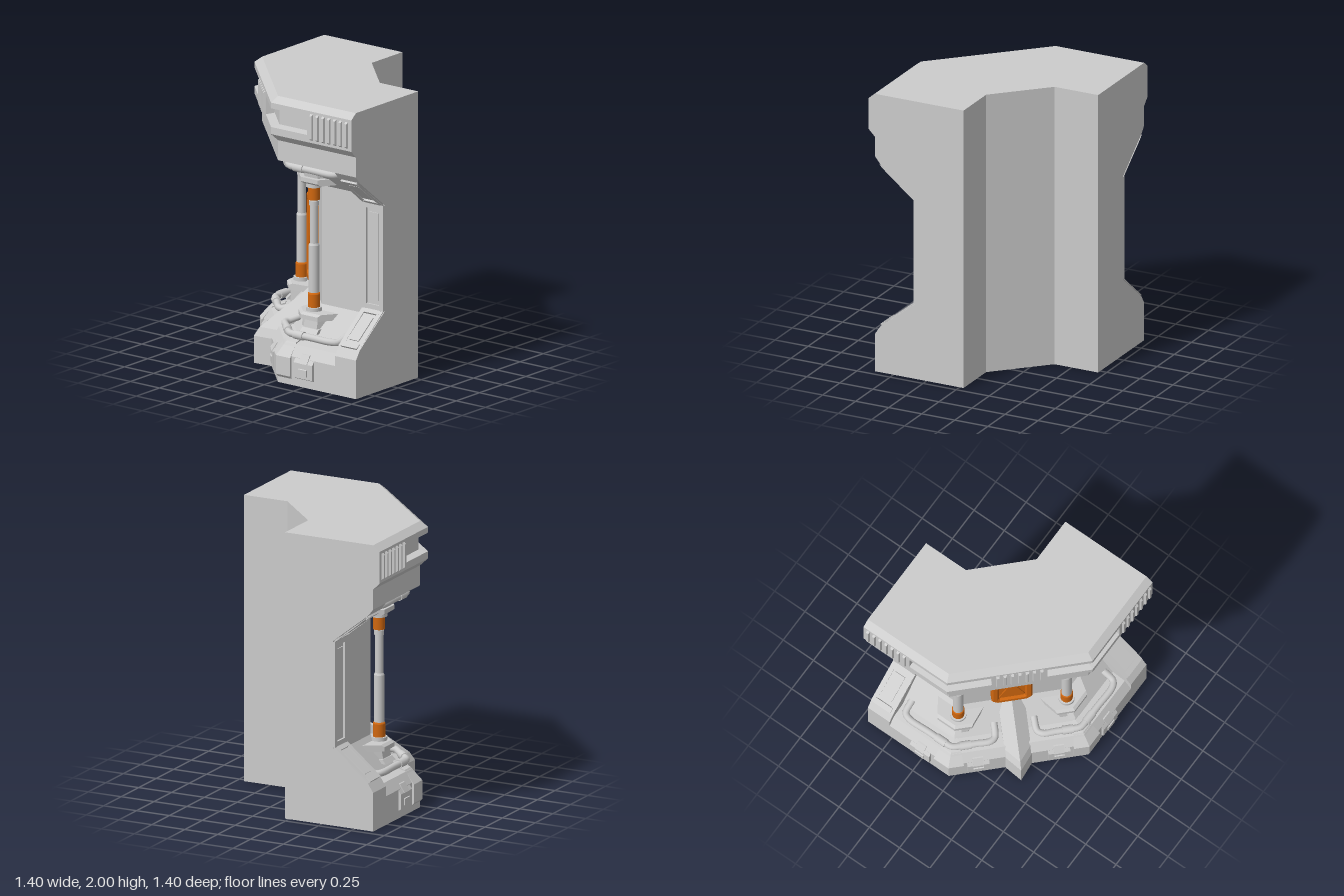
import * as THREE from 'three';

const grey = new THREE.MeshStandardMaterial({ color: 0xcccccc });
const greyFlat = new THREE.MeshStandardMaterial({ color: 0xcccccc, flatShading: true });
const orange = new THREE.MeshStandardMaterial({ color: 0xd0670f });
const IN = 0.72, R2 = Math.SQRT2;

// Stations: each maps a depth d behind the outer face to a point [x, z] in plan.
const side = (k, m = 0) => d => [-0.69 + d, k + m * d];
const diag = (t, m = 0, shift = 0) => d => {
  const D = 0.481 - d - shift, u = t + m * d;
  return [(-D - u) / R2, (-D + u) / R2];
};
const corner = d => d === IN ? [0.03, 0.37] : [-0.69 + d, 0.01 + 0.414 * d];
const swap = s => d => s(d).reverse();
const mirror = list => list.map(swap).reverse();

// Loft a closed profile of [depth, height] points through the stations, with caps.
function loft(profile, stations) {
  let pts = profile.map(p => new THREE.Vector2(p[0], p[1]));
  if (THREE.ShapeUtils.area(pts) < 0) pts.reverse();
  const n = pts.length, pos = [];
  const rings = stations.map(s => pts.map(p => { const [x, z] = s(p.x); return [x, p.y, z]; }));
  for (let i = 0; i + 1 < rings.length; i++) {
    const s = rings[i], e = rings[i + 1];
    for (let a = 0; a < n; a++) {
      const b = (a + 1) % n;
      pos.push(...s[b], ...s[a], ...e[a], ...s[b], ...e[a], ...e[b]);
    }
  }
  const last = rings[rings.length - 1];
  for (const [a, b, c] of THREE.ShapeUtils.triangulateShape(pts, [])) {
    pos.push(...rings[0][a], ...rings[0][b], ...rings[0][c]);
    pos.push(...last[a], ...last[c], ...last[b]);
  }
  const g = new THREE.BufferGeometry();
  g.setAttribute('position', new THREE.Float32BufferAttribute(pos, 3));
  g.computeVertexNormals();
  return g;
}

export function createModel() {
  const root = new THREE.Group();
  const add = (name, geo, mat = greyFlat, parent = root) => {
    const m = new THREE.Mesh(geo, mat);
    m.name = name;
    parent.add(m);
    return m;
  };
  const part = (name, profile, stations) => add(name, loft(profile, stations));
  const pair = (name, profile, stations) => {
    part(name, profile, stations);
    part(name, profile, mirror(stations));
  };

  // Wall body: full-depth ends and a recessed middle wrapping both corners
  pair('wallEnd', [[0.05, 0], [0.05, 0.27], [0.09, 0.33], [0.355, 0.54], [0.355, 1.29], [0.09, 1.5],
    [0.05, 1.55], [0.05, 1.69], [0, 1.74], [0, 1.96], [0.05, 2], [IN, 2], [IN, 0]], [side(0.7), side(0.52)]);
  part('wallMiddle', [[0.05, 0], [0.05, 0.2], [0.1, 0.27], [0.2, 0.29], [0.36, 0.5], [0.36, 1.33],
    [0.22, 1.47], [0.2, 1.55], [0.05, 1.55], [0.05, 1.69], [0, 1.74], [0, 1.79], [0.06, 1.8], [0.06, 1.91],
    [0, 1.92], [0, 1.96], [0.05, 2], [IN, 2], [IN, 0]],
  [side(0.52), corner, swap(corner), swap(side(0.52))]);

  // Cornice blocks between the window recesses, and their ribs
  const block = [[0, 1.78], [0.07, 1.78], [0.07, 1.93], [0, 1.93]];
  pair('corniceBlock', block, [side(0.53), side(0.32)]);
  part('corniceBlock', block, [diag(0.19), diag(-0.19)]);
  const rib = [[0.01, 1.75], [-0.015, 1.77], [-0.015, 1.93], [0.01, 1.95]];
  for (let i = 0; i < 7; i++) {
    const k = 0.36 + i * 0.05, t = (i - 3) * 0.05;
    pair('corniceRib', rib, [side(k + 0.012, 0.25), side(k - 0.012, -0.25)]);
    part('corniceRib', rib, [diag(t + 0.012, 0.25), diag(t - 0.012, -0.25)]);
  }

  // End frames following the waist: two rails, cross bars and inner panels
  const line = [[0.09, 0.33], [0.355, 0.54], [0.355, 1.29], [0.09, 1.5]];
  const rail = [[0.085, 0.335], [0.34, 0.545], [0.34, 1.285], [0.085, 1.495],
    [0.11, 1.47], [0.37, 1.27], [0.37, 0.56], [0.11, 0.36]];
  pair('frameRail', rail, [side(0.7), side(0.665)]);
  pair('frameRail', rail, [side(0.555), side(0.52)]);
  for (let i = 0; i < 3; i++) {
    const [p, q] = [line[i], line[i + 1]];
    const dx = q[0] - p[0], dy = q[1] - p[1], len = Math.hypot(dx, dy);
    const strip = (a, b, h) => [[a, h], [b, h], [b, -0.02], [a, -0.02]]
      .map(([f, o]) => [p[0] + dx * f - dy / len * o, p[1] + dy * f + dx / len * o]);
    const c = 0.04 / len;
    pair('frameBar', strip(0, c, 0.014), [side(0.68), side(0.54)]);
    pair('frameBar', strip(1 - c, 1, 0.014), [side(0.68), side(0.54)]);
    pair('framePanel', strip(1.7 * c, 1 - 1.7 * c, 0.007), [side(0.65), side(0.57)]);
  }

  // Pointed buttresses in the middle of the slanted face
  part('lowerButtress', [[-0.06, 0], [-0.06, 0.19], [-0.02, 0.25], [0.33, 0.53], [0.4, 0.53], [0.4, 0]],
    [diag(0.09, 0, 0.11), diag(0), diag(-0.09, 0, 0.11)]);
  part('upperButtress', [[0.06, 1.56], [0.08, 1.5], [0.34, 1.28], [0.45, 1.28], [0.45, 1.56]],
    [diag(0.14, 0, 0.13), diag(0), diag(-0.14, 0, 0.13)]);

  // Foot blocks along the base
  const foot = [[0.06, 0.05], [0.03, 0.065], [0.03, 0.17], [0.07, 0.225], [0.12, 0.225], [0.12, 0.05]];
  const latch = [[0.05, 0.08], [0.022, 0.085], [0.022, 0.13], [0.05, 0.14]];
  const cap = [[0.05, 0.165], [0.026, 0.17], [0.062, 0.228], [0.1, 0.232]];
  for (const [a, b] of [[side(0.34), side(0.18)], [diag(0.35), diag(0.2)]]) pair('footBlock', foot, [a, b]);
  for (const s of [latch, cap]) {
    pair('footLatch', s, [side(0.295), side(0.225)]);
    pair('footLatch', s, [diag(0.31), diag(0.24)]);
  }
  pair('cornerBlock', [[0.06, 0.03], [0.035, 0.06], [0.035, 0.19], [0.11, 0.28], [0.2, 0.3], [0.2, 0.03]],
    [side(0.15, -0.1), corner, diag(0.37, 0.1)]);

  // Column plinths and capitals, mirrored about mid height of the waist
  const flip = y => 1.83 - y;
  for (const f of [y => y, flip]) {
    const map = p => p.map(([d, y]) => [d, f(y)]);
    const plan = [side(0.1, 0.67), corner, diag(0.458, -0.8)];
    const neck = [side(0.09, 0.55), corner, diag(0.465, -0.68)];
    pair('bracketSlab', map([[0.21, 0.42], [0.21, 0.45], [0.23, 0.465], [0.38, 0.465], [0.38, 0.42]]), plan);
    pair('bracketBody', map([[0.22, 0.28], [0.24, 0.42], [0.38, 0.42], [0.38, 0.28]]), neck);
    pair('bracketSlot', map([[0.2, 0.33], [0.225, 0.36], [0.3, 0.36], [0.3, 0.33]]),
      [side(0.24), corner, diag(0.36)]);
  }

  // Columns standing at the two corners of the waist
  const turned = (...p) => new THREE.LatheGeometry(p.map(([r, y]) => new THREE.Vector2(r, y)), 24);
  const base = corner(0.305);
  for (const [x, z] of [base, [base[1], base[0]]]) {
    const col = new THREE.Group();
    col.name = 'column';
    col.position.set(x, 0, z);
    root.add(col);
    const cyl = (name, r, y0, y1, mat) => {
      const g = new THREE.CylinderGeometry(r, r, y1 - y0, 24).translate(0, (y0 + y1) / 2, 0);
      return add(name, g, mat, col);
    };
    cyl('columnCollar', 0.055, 0.45, 0.49, grey);
    cyl('columnFoot', 0.042, 0.48, 0.58, orange);
    add('columnFootLip', turned([0.042, 0.58], [0.037, 0.592], [0, 0.592]), orange, col);
    cyl('columnSleeve', 0.036, 0.58, 0.92, grey);
    add('columnSleeveLip', turned([0.036, 0.92], [0.029, 0.935]), grey, col);
    cyl('columnShaft', 0.028, 0.92, 1.24, grey);
    cyl('columnRing', 0.033, 1.2, 1.232, grey);
    cyl('columnHead', 0.041, 1.24, 1.34, orange);
    cyl('columnCollar', 0.055, 1.33, 1.38, grey);
  }

  // Pipes bending round each corner, with thicker sleeves by the bend
  const up = new THREE.Vector3(0, 1, 0);
  for (const [y, d] of [[1.5, 0.13], [0.33, 0.13]]) {
    for (const s of [p => p, swap]) {
      const at = (st, depth = d, h = y) => { const [x, z] = s(st)(depth); return new THREE.Vector3(x, h, z); };
      const inY = y > 1 ? y - 0.01 : y + 0.03;
      const pts = [at(side(0.47), 0.24, inY), at(side(0.46), d + 0.025), at(side(0.42)), at(side(0.25)),
        at(side(0.12)), at(corner, d + 0.006), at(diag(0.38)), at(diag(0.27)), at(diag(0.18)),
        at(diag(0.145), d + 0.025), at(diag(0.135), 0.25, inY)];
      add('pipe', new THREE.TubeGeometry(new THREE.CatmullRomCurve3(pts, false, 'centripetal'), 64, 0.024, 12), grey);
      for (const [a, b] of [[side(0.19), side(0.11)], [diag(0.385), diag(0.31)]]) {
        const p = at(a), q = at(b), v = q.clone().sub(p);
        const sleeve = add('pipeSleeve', new THREE.CylinderGeometry(0.03, 0.03, v.length(), 16), grey);
        sleeve.position.copy(p).add(q).multiplyScalar(0.5);
        sleeve.quaternion.setFromUnitVectors(up, v.normalize());
      }
    }
  }

  // Orange hatch with a raised border and crossed braces
  const hatch = new THREE.Group();
  hatch.name = 'hatch';
  hatch.position.set(-0.11 / R2, 0.857, -0.11 / R2);
  hatch.rotation.y = -Math.PI * 0.75;
  root.add(hatch);
  const octagon = (Cls, w, h, c) => {
    const o = new Cls();
    [[-w + c, -h], [w - c, -h], [w, -h + c], [w, h - c], [w - c, h], [-w + c, h], [-w, h - c], [-w, -h + c]]
      .forEach(([x, y], i) => i ? o.lineTo(x, y) : o.moveTo(x, y));
    o.closePath();
    return o;
  };
  const border = octagon(THREE.Shape, 0.127, 0.293, 0.03);
  border.holes.push(octagon(THREE.Path, 0.1, 0.262, 0.015));
  add('hatchBorder', new THREE.ExtrudeGeometry(border, { depth: 0.05, bevelEnabled: true, bevelThickness: 0.012, bevelSize: 0.012, bevelSegments: 1 }), orange, hatch);
  add('hatchPanel', new THREE.BoxGeometry(0.22, 0.54, 0.045).translate(0, 0, 0.0225), orange, hatch);
  for (const k of [-1, 1]) {
    const brace = add('hatchBrace', new THREE.BoxGeometry(0.014, 0.47, 0.012), orange, hatch);
    brace.position.z = 0.047;
    brace.rotation.z = k * 0.36;
  }
  return root;
}
